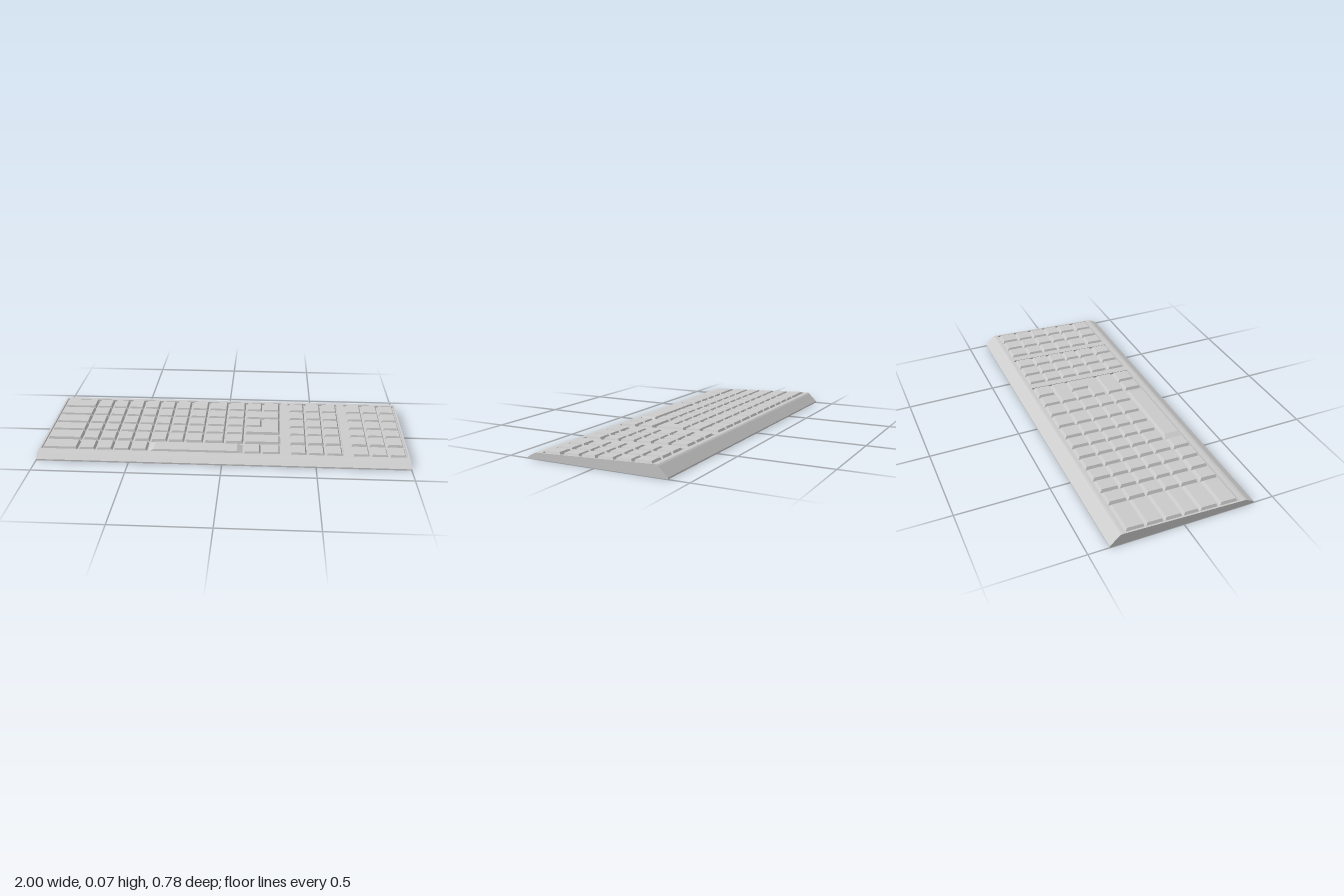
import * as THREE from 'three';

const material = new THREE.MeshStandardMaterial({ color: 0xcccccc, flatShading: true });

// Height of the sloping deck at depth z
const deck = (z) => 0.034 + (0.33 - z) * 0.0425;
const WELL_DEPTH = 0.01;
const WELL_Z = 0.31;

// A stretch of the case from x0 to x1, optionally with the key well cut in
function caseSection(name, x0, x1, hasWell) {
  const well = hasWell
    ? [[WELL_Z, deck(WELL_Z)], [WELL_Z, deck(WELL_Z) - WELL_DEPTH],
      [-WELL_Z, deck(-WELL_Z) - WELL_DEPTH], [-WELL_Z, deck(-WELL_Z)]]
    : [];
  const profile = [
    [-0.39, 0], [0.39, 0], [0.39, 0.008], [0.35, 0.03], [0.335, 0.0335],
    ...well,
    [-0.325, 0.0618], [-0.334, 0.0605], [-0.342, 0.055], [-0.39, 0.008],
  ].map(([z, y]) => new THREE.Vector2(z, y));
  const geometry = new THREE.ExtrudeGeometry(new THREE.Shape(profile), {
    depth: x1 - x0, bevelEnabled: false,
  });
  geometry.rotateY(-Math.PI / 2).translate(x1, 0, 0);
  const mesh = new THREE.Mesh(geometry, material);
  mesh.name = name;
  return mesh;
}

// A keycap with a tapered top that follows the deck slope
function keycap(name, x0, x1, z0, z1, sideInset = 0.008) {
  const gap = 0.004;
  const geometry = new THREE.BoxGeometry(1, 1, 1);
  const p = geometry.attributes.position;
  for (let i = 0; i < p.count; i++) {
    const top = p.getY(i) > 0;
    const side = gap + (top ? sideInset : 0);
    const x = p.getX(i) < 0 ? x0 + side : x1 - side;
    const z = p.getZ(i) < 0 ? z0 + gap + (top ? 0.01 : 0) : z1 - gap - (top ? 0.004 : 0);
    p.setXYZ(i, x, deck(z) + (top ? 0.0065 : -WELL_DEPTH), z);
  }
  geometry.computeVertexNormals();
  const mesh = new THREE.Mesh(geometry, material);
  mesh.name = name;
  return mesh;
}

export function createModel() {
  const keyboard = new THREE.Group();
  keyboard.name = 'keyboard';

  // Case: solid ends and ribs between three key wells
  const cuts = [-1, -0.99, 0.314, 0.358, 0.651, 0.693, 0.99, 1];
  const body = new THREE.Group();
  body.name = 'case';
  for (let i = 0; i < cuts.length - 1; i++) {
    const hasWell = i % 2 === 1;
    body.add(caseSection(hasWell ? 'keyWell' : 'caseRib', cuts[i], cuts[i + 1], hasWell));
  }
  keyboard.add(body);

  const rows = [[-0.307, -0.2], [-0.2, -0.1], [-0.1, 0], [0, 0.092], [0.092, 0.195], [0.202, 0.307]];
  const columns = [-0.79, -0.693, -0.598, -0.503, -0.408, -0.313, -0.218, -0.113, 0.003, 0.11];
  const MID = 0.208, END = 0.312;

  const mainKeys = new THREE.Group();
  mainKeys.name = 'mainKeys';
  rows.forEach(([z0, z1], r) => {
    mainKeys.add(keycap('wideLeftKey', -0.988, -0.79, z0, z1));
    // The bottom row stops at the space bar
    const count = r === 5 ? 4 : 9;
    for (let c = 0; c < count; c++) {
      mainKeys.add(keycap('key', columns[c], columns[c + 1], z0, z1));
    }
    if (r === 0 || r === 5) {
      mainKeys.add(keycap('key', 0.11, MID, z0, z1), keycap('key', MID, END, z0, z1));
    } else if (r === 1 || r === 4) {
      mainKeys.add(keycap('wideRightKey', 0.11, END, z0, z1));
    }
  });
  mainKeys.add(keycap('key', 0.11, MID, ...rows[2]));
  mainKeys.add(keycap('spaceBar', -0.408, 0.11, ...rows[5], 0.03));

  // L-shaped enter key made of two overlapping caps
  const enterKey = new THREE.Group();
  enterKey.name = 'enterKey';
  enterKey.add(keycap('enterBase', 0.11, END, 0, 0.082));
  enterKey.add(keycap('enterUpright', MID, END, -0.1, 0.082));
  mainKeys.add(enterKey);
  keyboard.add(mainKeys);

  // Two side blocks, three keys wide
  [['navigationKeys', 0.36, 0.649], ['numberPad', 0.695, 0.988]].forEach(([name, x0, x1]) => {
    const block = new THREE.Group();
    block.name = name;
    const pitch = (x1 - x0) / 3;
    for (const [z0, z1] of rows) {
      for (let c = 0; c < 3; c++) {
        block.add(keycap('key', x0 + c * pitch, x0 + (c + 1) * pitch, z0, z1));
      }
    }
    keyboard.add(block);
  });

  return keyboard;
}
